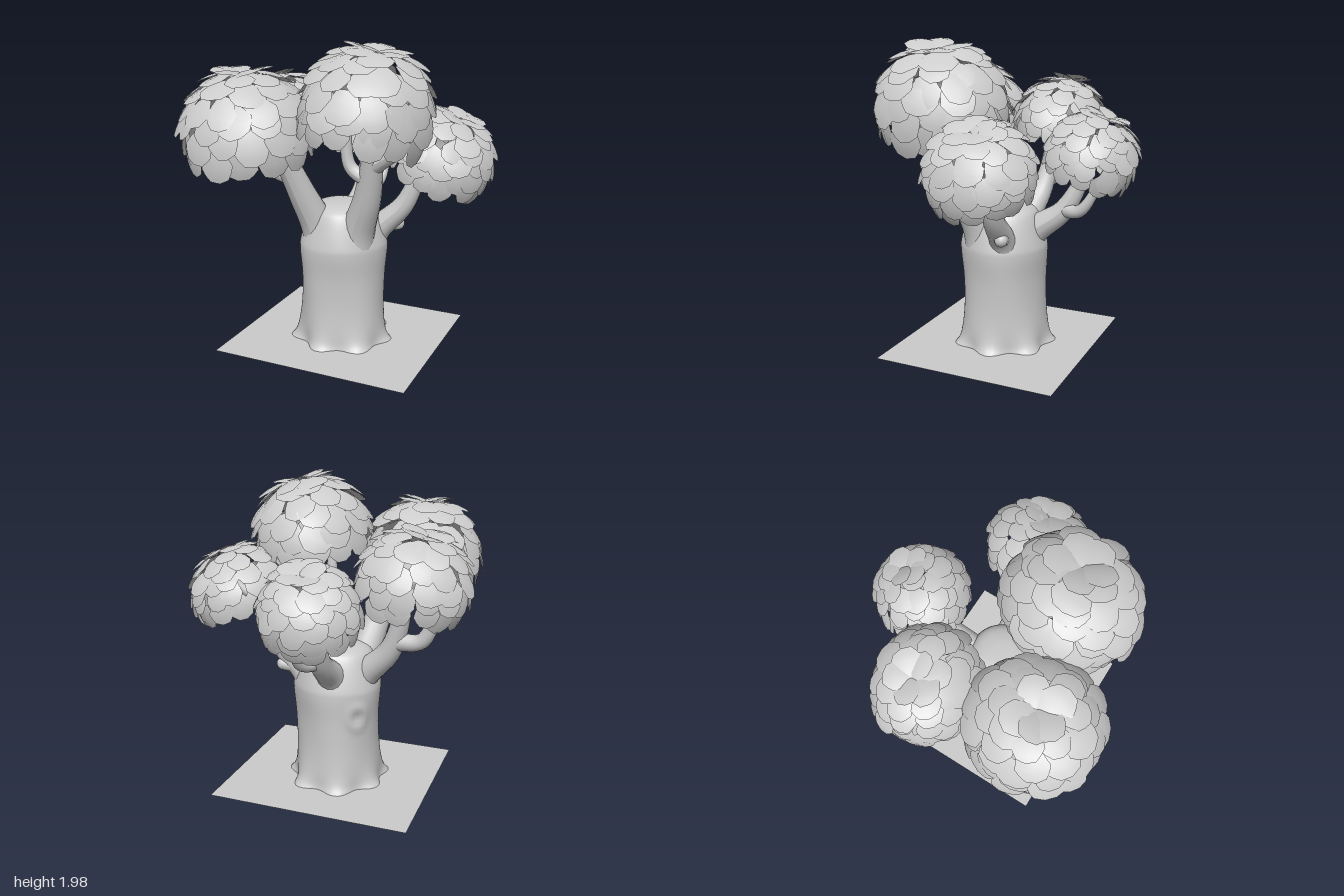
import * as THREE from 'three';
import { mergeGeometries, mergeVertices } from 'three/addons/utils/BufferGeometryUtils.js';

const bark = new THREE.MeshStandardMaterial({ color: 0xcccccc, side: THREE.DoubleSide });
const leafy = new THREE.MeshStandardMaterial({ color: 0xcccccc, side: THREE.DoubleSide });

function seeded(seed) {
  let s = seed;
  return () => ((s = (s * 16807) % 2147483647) / 2147483647);
}

// Stout trunk: a lathe with root flares at the base and a knot on the back
function makeTrunk() {
  const profile = [[0.312, 0], [0.29, 0.06], [0.272, 0.25], [0.272, 0.45], [0.285, 0.62], [0.277, 0.7],
    [0.23, 0.85], [0.185, 0.905], [0.1, 0.93], [0.0001, 0.935]];
  const curve = new THREE.SplineCurve(profile.map((p) => new THREE.Vector2(...p)));
  let geo = new THREE.LatheGeometry(curve.getPoints(60), 72);
  geo.deleteAttribute('uv');
  geo.deleteAttribute('normal');
  geo = mergeVertices(geo, 1e-5);
  const pos = geo.attributes.position;
  for (let i = 0; i < pos.count; i++) {
    const x = pos.getX(i), y = pos.getY(i), z = pos.getZ(i);
    const a = Math.atan2(z, x);
    const flare = Math.exp(-y / 0.06) * 0.09 * Math.cos(7 * a + 0.6);
    const lumps = 0.018 * Math.sin(3 * a + y * 4) + 0.01 * Math.sin(5 * a - y * 6);
    const d = Math.hypot((a + Math.PI * 0.75) * 0.27, (y - 0.5) * 0.8);
    const knot = 0.04 * Math.exp(-(((d - 0.055) / 0.025) ** 2)) - 0.03 * Math.exp(-((d / 0.035) ** 2));
    const k = 1 + flare + lumps + knot;
    pos.setXYZ(i, x * k, y, z * k);
  }
  geo.computeVertexNormals();
  const mesh = new THREE.Mesh(geo, bark);
  mesh.position.set(-0.035, 0, -0.01);
  mesh.name = 'trunk';
  return mesh;
}

// Tapered branch along a curve, closed with a rounded tip
function makeBranch(name, r0, r1, ...points) {
  const curve = new THREE.CatmullRomCurve3(points.map((p) => new THREE.Vector3(...p)));
  const segs = 24, sides = 16;
  const geo = new THREE.TubeGeometry(curve, segs, 1, sides, false);
  const pos = geo.attributes.position;
  const p = new THREE.Vector3();
  for (let i = 0; i < pos.count; i++) {
    const t = Math.floor(i / (sides + 1)) / segs;
    const c = curve.getPointAt(t);
    const r = r1 + (r0 - r1) * (1 - t) ** 1.3;
    p.fromBufferAttribute(pos, i).sub(c).multiplyScalar(r).add(c);
    pos.setXYZ(i, p.x, p.y, p.z);
  }
  geo.computeVertexNormals();
  const tip = new THREE.SphereGeometry(r1, 16, 10).translate(...points[points.length - 1]);
  const mesh = new THREE.Mesh(mergeGeometries([geo, tip]), bark);
  mesh.name = name;
  return mesh;
}

// Main limb: its root runs down inside the trunk so that it swells out of the shoulder
function makeLimb(name, r0, r1, shoulder, ...rest) {
  const root = [shoulder[0] * 0.75 - 0.01, 0.45, shoulder[2] * 0.75];
  return makeBranch(name, r0, r1, root, shoulder, ...rest);
}

// One six-sided leaf lying on the unit sphere, rising from its root radius to a lifted tip
function makeLeaf(theta, phi, halfWidth, length, root, lift, twist) {
  const dir = new THREE.Vector3().setFromSphericalCoords(1, theta, phi);
  const south = new THREE.Vector3().setFromSphericalCoords(1, theta + Math.PI / 2, phi);
  const east = new THREE.Vector3().crossVectors(south, dir);
  south.applyAxisAngle(dir, twist);
  east.applyAxisAngle(dir, twist);
  const rows = [[0, 0.55], [0.3, 0.8], [0.62, 1], [0.82, 0.8], [1, 0.55]];
  const verts = [], index = [];
  rows.forEach(([v, w], r) => {
    for (let u = -1; u <= 1; u++) {
      const p = dir.clone().addScaledVector(east, u * w * halfWidth)
        .addScaledVector(south, (v - 0.5 - 0.06 * u * u * v) * length).normalize()
        .multiplyScalar(root + lift * v - 0.015 * u * u);
      verts.push(p.x, p.y, p.z);
      if (r && u < 1) {
        const b = r * 3 + u + 1, a = b - 3;
        index.push(a, b, a + 1, a + 1, b, b + 1);
      }
    }
  });
  const geo = new THREE.BufferGeometry();
  geo.setAttribute('position', new THREE.Float32BufferAttribute(verts, 3));
  geo.setIndex(index);
  geo.computeVertexNormals();
  return geo;
}

// Open-bottomed dome of overlapping leaf rings, dimpled at the crown
function makeCanopy(name, seed, depth, center, size, tilt) {
  const rand = seeded(seed);
  const vary = (amount) => (rand() - 0.5) * amount;
  const leaves = [];
  const ringCount = 7;
  for (let k = 0; k < ringCount; k++) {
    const theta = 0.25 + ((depth - 0.25) * k) / (ringCount - 1);
    const n = Math.max(5, Math.round((Math.PI * 2 * Math.sin(theta)) / 0.43));
    const crown = k === 0;
    for (let i = 0; i < n; i++) {
      const phi = ((i + (k % 2) / 2 + vary(0.4)) / n) * Math.PI * 2;
      leaves.push(makeLeaf(theta + vary(0.2), phi, 0.27 + vary(0.07), 0.52 + vary(0.12),
        crown ? 0.87 : 0.93 + vary(0.02), crown ? 0.2 + vary(0.06) : 0.12 + vary(0.08), vary(0.8)));
    }
  }
  const mesh = new THREE.Mesh(mergeGeometries(leaves), leafy);
  mesh.position.set(...center);
  mesh.scale.set(...size);
  mesh.rotation.set(tilt[0], 0, tilt[1]);
  mesh.name = name;
  return mesh;
}

export function createModel() {
  const tree = new THREE.Group();
  tree.name = 'tree';

  const ground = new THREE.Mesh(new THREE.PlaneGeometry(1.29, 1.18), bark);
  ground.rotation.x = -Math.PI / 2;
  ground.position.set(-0.025, 0, -0.01);
  ground.name = 'groundPatch';
  tree.add(ground, makeTrunk());

  // Main limbs: start radius, end radius, shoulder, elbow, tip
  tree.add(
    makeLimb('frontLeftLimb', 0.14, 0.05, [0.11, 0.75, 0.09], [0.21, 1.03, 0.16], [0.32, 1.6, 0.3]),
    makeLimb('frontRightLimb', 0.14, 0.055, [-0.15, 0.75, 0.11], [-0.22, 1.03, 0.22], [-0.34, 1.5, 0.42]),
    makeLimb('backRightLimb', 0.12, 0.045, [-0.2, 0.7, -0.05], [-0.42, 0.96, -0.12], [-0.54, 1.4, -0.19]),
    makeLimb('backLeftLimb', 0.11, 0.04, [0.16, 0.71, -0.09], [0.36, 0.94, -0.11], [0.51, 1.36, -0.12]),
    makeLimb('backLimb', 0.13, 0.035, [-0.06, 0.73, -0.19], [-0.065, 0.92, -0.41], [-0.09, 1.3, -0.6]),
  );

  // Forks and the cut stub
  tree.add(
    makeBranch('frontLeftInnerFork', 0.05, 0.03, [0.25, 1.13, 0.2], [0.12, 1.22, 0.22], [0.1, 1.5, 0.24]),
    makeBranch('frontLeftOuterFork', 0.06, 0.035, [0.28, 1.25, 0.22], [0.43, 1.36, 0.25], [0.5, 1.5, 0.27]),
    makeBranch('backRightFork', 0.06, 0.035, [-0.45, 1.01, -0.13], [-0.62, 1.04, -0.16], [-0.74, 1.32, -0.19]),
    makeBranch('backLeftFork', 0.04, 0.025, [0.46, 1.2, -0.11], [0.56, 1.25, -0.14], [0.66, 1.36, -0.17]),
    makeBranch('backFork', 0.05, 0.022, [-0.06, 0.92, -0.4], [0.005, 0.94, -0.54], [0.02, 1.2, -0.7]),
    makeBranch('cutStub', 0.055, 0.042, [0.16, 0.76, -0.1], [0.3, 0.78, -0.14]),
  );

  // Leaf domes: seed, polar angle of the lowest ring, center, radii, tilt about x and z
  tree.add(
    makeCanopy('frontLeftCanopy', 11, 1.72, [0.25, 1.565, 0.28], [0.385, 0.41, 0.42], [0, -0.22]),
    makeCanopy('frontRightCanopy', 23, 1.78, [-0.45, 1.43, 0.46], [0.385, 0.4, 0.4], [0.08, 0.08]),
    makeCanopy('backRightCanopy', 37, 1.78, [-0.565, 1.39, -0.19], [0.345, 0.34, 0.31], [-0.08, 0.22]),
    makeCanopy('backLeftCanopy', 51, 1.8, [0.59, 1.25, -0.14], [0.315, 0.31, 0.33], [0, -0.4]),
    makeCanopy('backCanopy', 67, 1.8, [-0.06, 1.265, -0.58], [0.3, 0.3, 0.285], [-0.4, 0]),
  );
  return tree;
}
